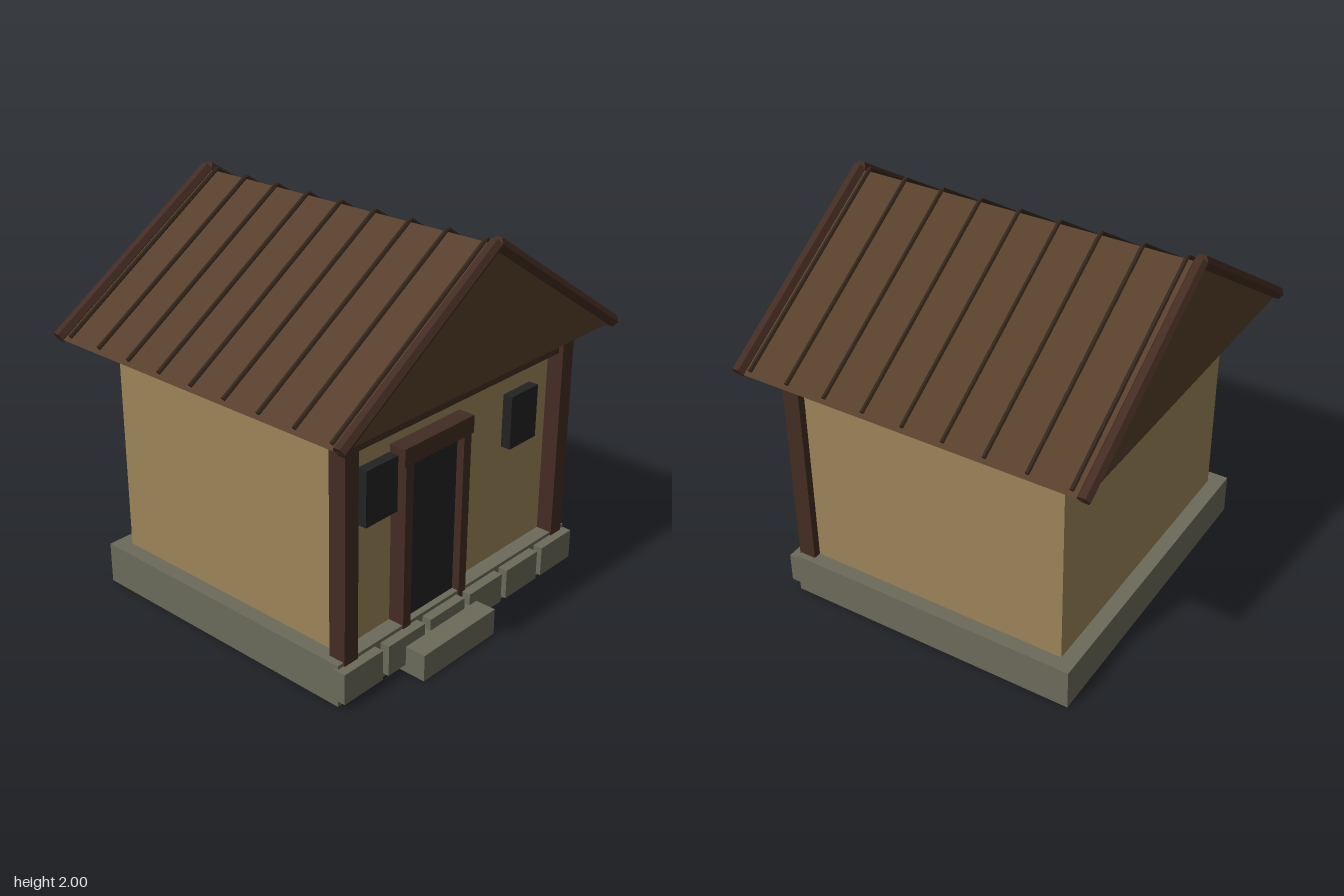
import * as THREE from 'three';

const material = (name, color) => {
  const m = new THREE.MeshStandardMaterial({ color });
  m.name = name;
  return m;
};

export function createModel() {
  const house = new THREE.Group();
  house.name = 'cottage';

  const plaster = material('plaster', 0x9b8458);
  const stone = material('stone', 0x6b6a5a);
  const timber = material('darkTimber', 0x432c22);
  const roofing = material('roofBrown', 0x563f2b);
  const batten = material('battenBrown', 0x33261b);
  const dark = material('darkOpening', 0x222222);

  const add = (name, geometry, mat) => {
    const mesh = new THREE.Mesh(geometry, mat);
    mesh.name = name;
    house.add(mesh);
    return mesh;
  };
  // box from its minimum and maximum on each axis
  const box = (name, mat, x0, x1, y0, y1, z0, z1) => {
    const mesh = add(name, new THREE.BoxGeometry(x1 - x0, y1 - y0, z1 - z0), mat);
    mesh.position.set((x0 + x1) / 2, (y0 + y1) / 2, (z0 + z1) / 2);
    return mesh;
  };
  // low-poly round bar between two points of the x-y plane
  const bar = (name, mat, radius, sides, from, to, z) => {
    const dx = to[0] - from[0], dy = to[1] - from[1];
    const geometry = new THREE.CylinderGeometry(radius, radius, Math.hypot(dx, dy), sides).toNonIndexed();
    geometry.computeVertexNormals();
    const mesh = add(name, geometry, mat);
    mesh.position.set((from[0] + to[0]) / 2, (from[1] + to[1]) / 2, z);
    mesh.rotation.z = Math.atan2(-dx, dy);
  };

  // stone base, front facing blocks and door step
  box('foundation', stone, -0.865, 0.857, 0, 0.215, -0.787, 0.78);
  for (let i = 0; i < 6; i++) {
    const x = -0.875 + i * 0.295;
    box('foundationBlock', stone, x, x + 0.255, 0.04, 0.197, 0.76, 0.83);
  }
  box('doorStep', stone, -0.46, 0.065, 0, 0.138, 0.76, 0.94);

  // walls
  box('walls', plaster, -0.787, 0.783, 0.2, 1.337, -0.708, 0.7);

  // front timber frame
  box('cornerPost', timber, -0.828, -0.742, 0.18, 1.327, 0.695, 0.787);
  box('cornerPost', timber, 0.738, 0.824, 0.18, 1.327, 0.695, 0.787);
  box('crossBeam', timber, -0.745, 0.74, 1.205, 1.292, 0.69, 0.762);

  // door and its frame
  box('door', dark, -0.385, -0.015, 0.2, 1.035, 0.69, 0.745);
  box('doorJamb', timber, -0.43, -0.378, 0.12, 1.04, 0.695, 0.785);
  box('doorJamb', timber, -0.022, 0.03, 0.12, 1.04, 0.695, 0.785);
  box('doorLintel', timber, -0.443, 0.043, 1.032, 1.12, 0.69, 0.788);

  // windows
  box('window', dark, -0.655, -0.447, 0.807, 1.083, 0.69, 0.752);
  box('window', dark, 0.383, 0.591, 0.807, 1.083, 0.69, 0.752);

  // solid gable roof
  const gable = new THREE.Shape([
    new THREE.Vector2(-0.98, 1.335),
    new THREE.Vector2(0.98, 1.335),
    new THREE.Vector2(0, 1.963),
  ]);
  const roof = add('roof', new THREE.ExtrudeGeometry(gable, { depth: 1.8, bevelEnabled: false }), roofing);
  roof.position.z = -0.903;

  // roof battens and verge bars, mirrored on both slopes
  for (const side of [-1, 1]) {
    for (let i = 0; i < 9; i++) {
      bar('roofBatten', batten, 0.011, 6, [side * 0.965, 1.356], [0, 1.975], -0.84 + i * 0.21);
    }
    for (const z of [-0.905, 0.897]) {
      bar('vergeBar', timber, 0.033, 6, [side * 0.983, 1.341], [0, 1.972], z);
    }
  }

  return house;
}
